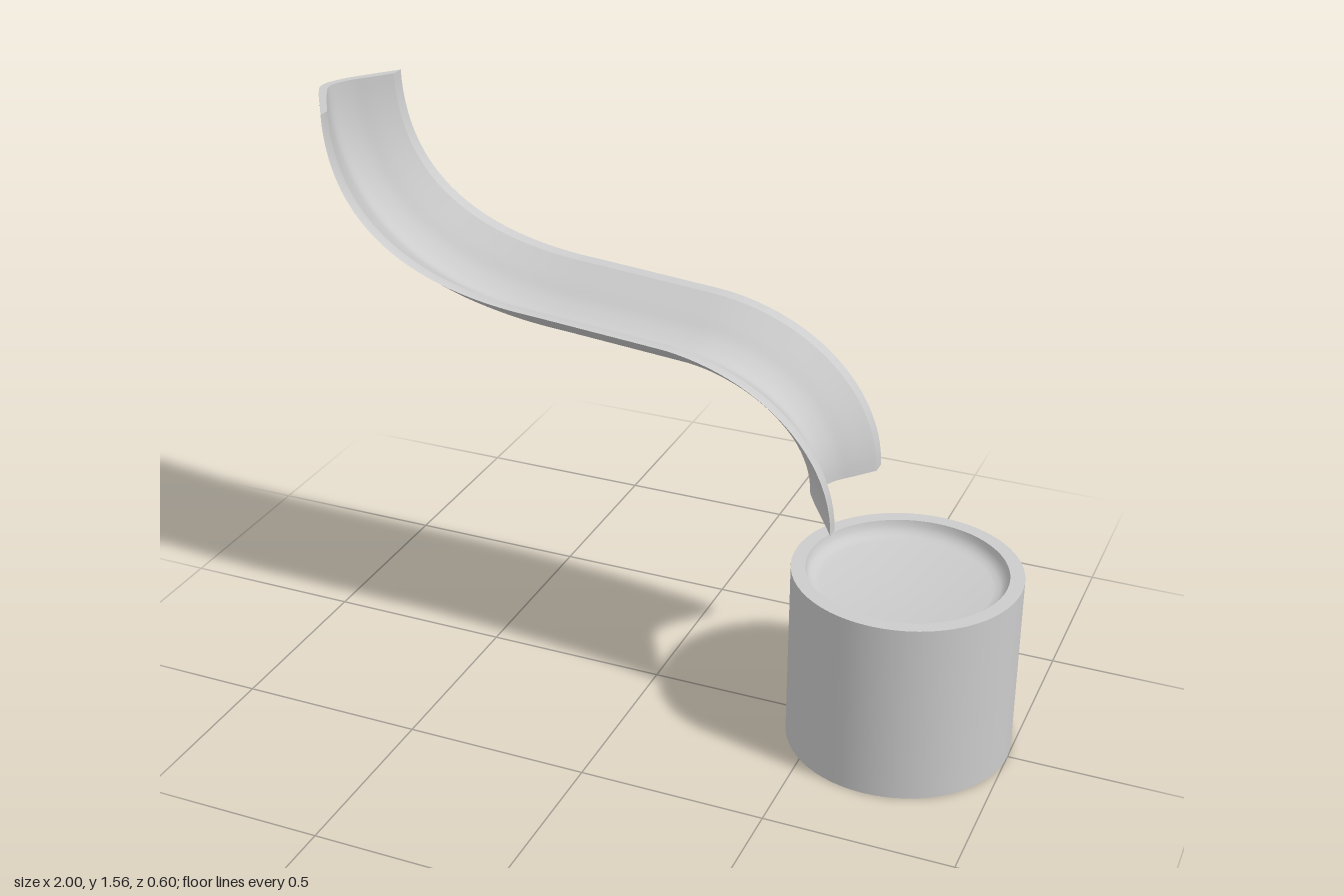
import * as THREE from 'three';
import { toCreasedNormals } from 'three/addons/utils/BufferGeometryUtils.js';

const v2 = (x, y) => new THREE.Vector2(x, y);
const material = new THREE.MeshStandardMaterial({ color: 0xcccccc });

// Smooth row of [z, height] samples through a few section points
function sectionRow(points) {
  return new THREE.SplineCurve(points.map(p => v2(...p))).getPoints(24);
}

// S-shaped line followed by the chute's rim
function rimPath() {
  const path = new THREE.CurvePath();
  path.add(new THREE.CubicBezierCurve(v2(-0.87, 1.56), v2(-0.865, 1.3), v2(-0.69, 1.122), v2(-0.28, 1.1)));
  path.add(new THREE.LineCurve(v2(-0.28, 1.1), v2(0.08, 1.07)));
  path.add(new THREE.CubicBezierCurve(v2(0.08, 1.07), v2(0.35, 1.035), v2(0.532, 0.85), v2(0.535, 0.638)));
  return path;
}

// Sweep a closed section (outer row + inner row back) along the path
function sweepChannel(path, outer, inner, steps) {
  const ring = [...outer, ...inner.slice().reverse()];
  const n = ring.length, positions = [], index = [];
  for (let i = 0; i <= steps; i++) {
    const p = path.getPointAt(i / steps), t = path.getTangentAt(i / steps);
    for (const s of ring) positions.push(p.x - t.y * s.y, p.y + t.x * s.y, s.x);
  }
  for (let i = 0; i < steps; i++) {
    for (let j = 0; j < n; j++) {
      const k = (j + 1) % n, a = i * n + j, b = i * n + k;
      index.push(a, b, a + n, b, b + n, a + n);
    }
  }
  // End caps between the two rows
  const last = steps * n;
  for (let j = 0; j < outer.length - 1; j++) {
    const p = n - 1 - j, q = p - 1;
    index.push(j, p, j + 1, j + 1, p, q);
    index.push(last + j, last + j + 1, last + p, last + j + 1, last + q, last + p);
  }
  const geometry = new THREE.BufferGeometry();
  geometry.setAttribute('position', new THREE.Float32BufferAttribute(positions, 3));
  geometry.setIndex(index);
  return toCreasedNormals(geometry, 0.6);
}

export function createModel() {
  const model = new THREE.Group();
  model.name = 'chuteAndDrum';

  // Curved chute with a soft V-shaped channel
  const outer = sectionRow([[0.145, 0], [0.07, -0.047], [-0.01, -0.098], [-0.08, -0.13], [-0.15, -0.105], [-0.21, -0.057], [-0.275, 0]]);
  const inner = sectionRow([[0.112, 0], [0.055, -0.035], [-0.01, -0.074], [-0.08, -0.106], [-0.14, -0.084], [-0.185, -0.045], [-0.237, 0]]);
  const chute = new THREE.Mesh(sweepChannel(rimPath(), outer, inner, 64), material);
  chute.name = 'chute';
  model.add(chute);

  // Solid drum with a shallow dished top
  const profile = [
    v2(0, 0), v2(0.3, 0), v2(0.3, 0.5), v2(0.262, 0.5),
    v2(0.259, 0.485), v2(0.252, 0.473), v2(0.24, 0.464), v2(0.222, 0.46), v2(0, 0.46),
  ];
  const drum = new THREE.Mesh(toCreasedNormals(new THREE.LatheGeometry(profile, 64), 0.6), material);
  drum.name = 'drum';
  drum.position.x = 0.7;
  model.add(drum);

  return model;
}
